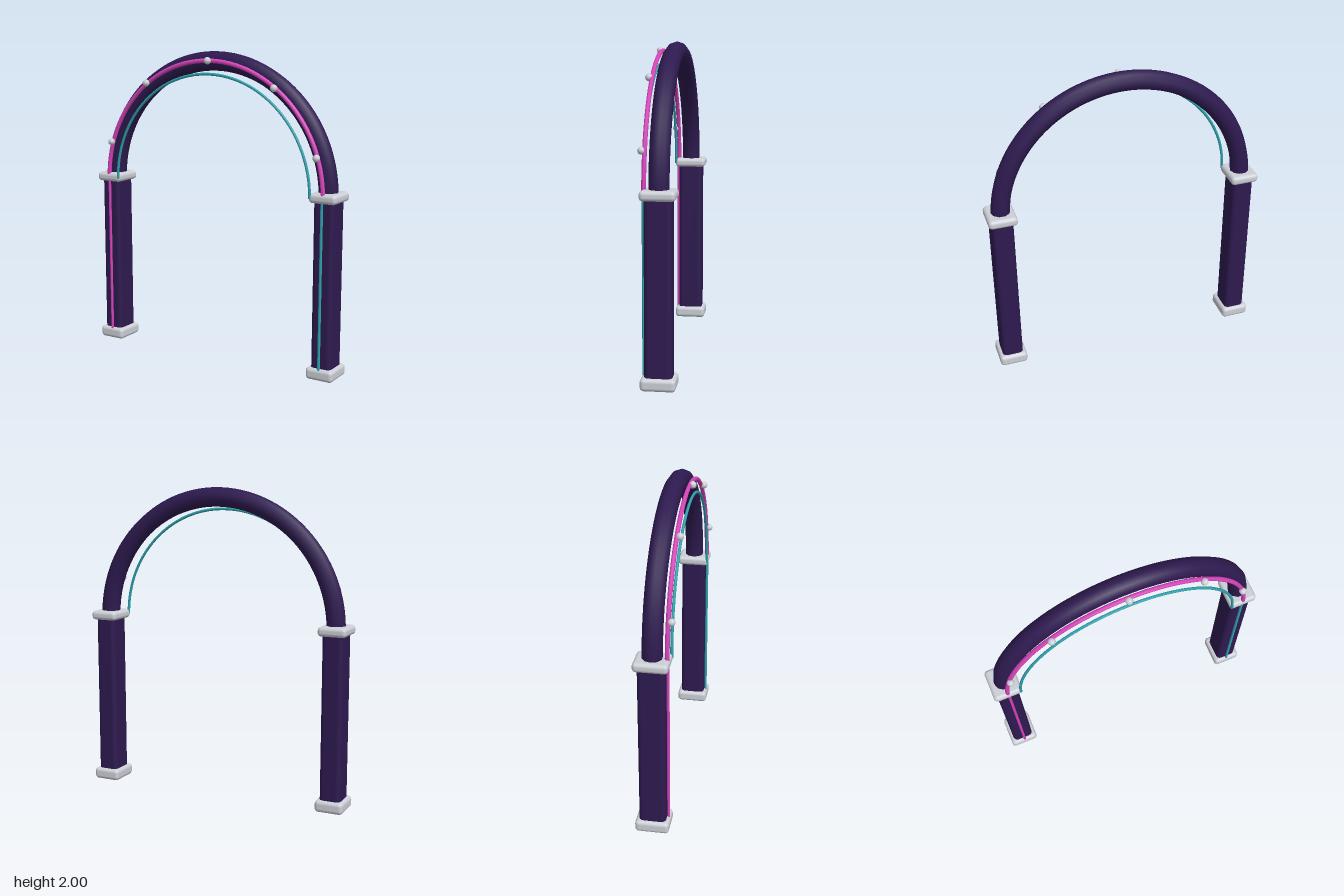
import * as THREE from 'three';
import { RoundedBoxGeometry } from 'three/addons/geometries/RoundedBoxGeometry.js';

const mat = (color) => new THREE.MeshStandardMaterial({ color });

export function createModel() {
  const model = new THREE.Group();
  const purple = mat(0x2e1a50), pink = mat(0xd844bc), teal = mat(0x2fa3ae), stone = mat(0xcccfd6);
  const R = 0.8, SPRING = 1.14, Z = -0.011;

  const add = (name, geometry, material, x, y, z) => {
    const mesh = new THREE.Mesh(geometry, material);
    mesh.name = name;
    mesh.position.set(x, y, z);
    model.add(mesh);
    return mesh;
  };
  // Half ring standing on the pillar tops
  const halfRing = (name, radius, tube, sides, material, z) =>
    add(name, new THREE.TorusGeometry(radius, tube, sides, 64, Math.PI), material, 0, SPRING, z);

  // Pillars with base blocks, capitals and a light strip on the front
  for (const [side, s, light] of [['left', 1, teal], ['right', -1, pink]]) {
    const x = s * 0.803;
    const bottom = s > 0 ? 0 : 0.01;
    add(side + 'Pillar', new RoundedBoxGeometry(0.137, 1.15 - bottom, 0.165, 3, 0.03),
      purple, x, (1.15 + bottom) / 2, Z);
    add(side + 'Base', new RoundedBoxGeometry(0.183, 0.076, 0.21, 3, 0.024), stone, x, 0.043, Z);
    add(side + 'Capital', new RoundedBoxGeometry(0.183, 0.06, 0.21, 3, 0.024), stone, x, 1.144, Z);
    add(side + 'LightStrip', new THREE.CylinderGeometry(0.009, 0.009, 1.07, 8), light, s * R, 0.605, 0.08);
  }

  // Main arch and its two light tubes
  halfRing('arch', R, 0.061, 10, purple, Z);
  halfRing('outerLightTube', 0.804, 0.014, 8, pink, 0.076);
  halfRing('innerLightTube', 0.722, 0.009, 8, teal, 0.088);

  // Beads spaced evenly along the outer light tube
  const bead = new THREE.SphereGeometry(0.023, 16, 12);
  for (let i = 0; i < 5; i++) {
    const a = ((18 + 36 * i) * Math.PI) / 180;
    add('bead' + (i + 1), bead, stone, 0.805 * Math.cos(a), SPRING + 0.805 * Math.sin(a), 0.095);
  }
  return model;
}
